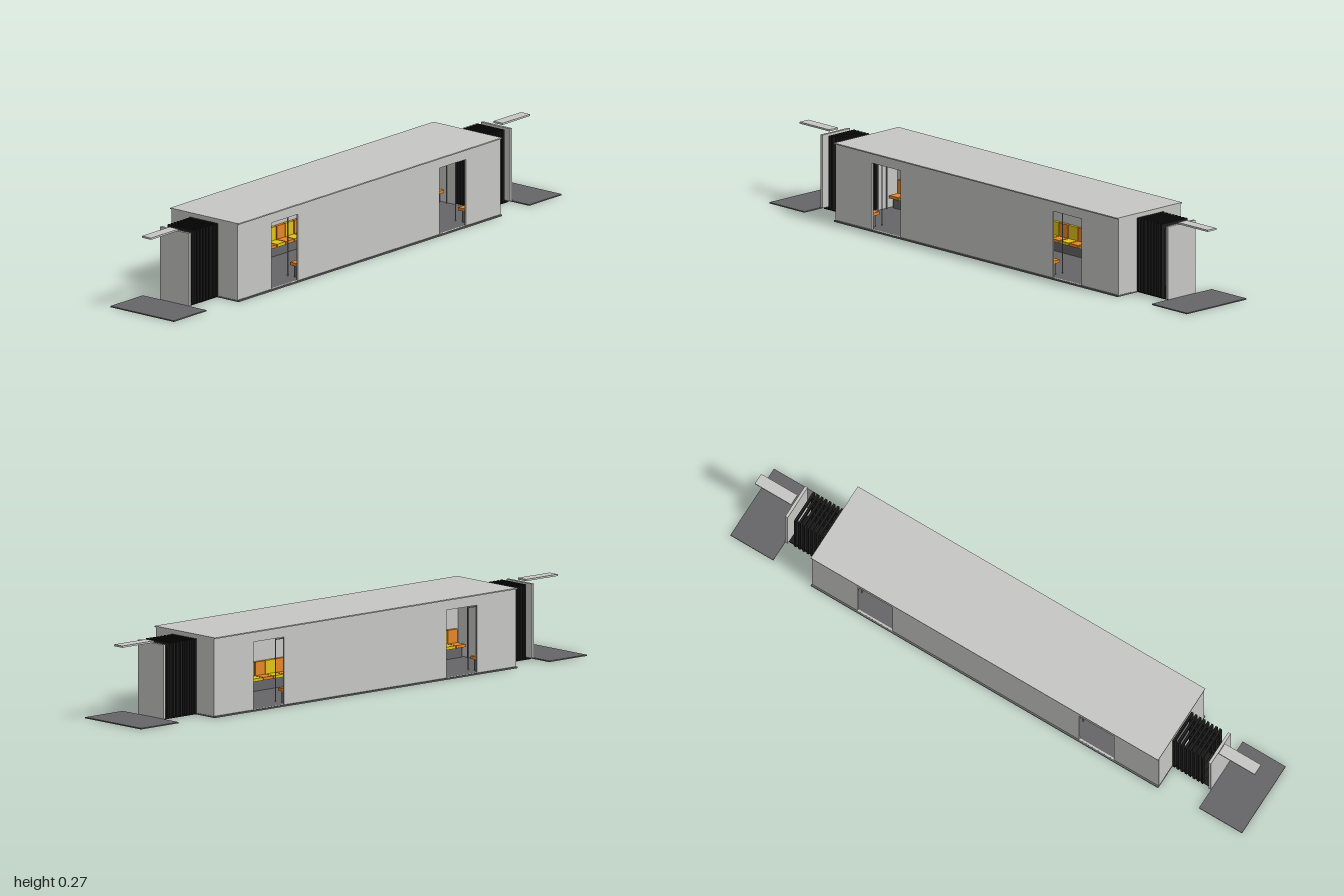
import * as THREE from 'three';

const mat = (name, color) => {
  const m = new THREE.MeshStandardMaterial({ color });
  m.name = name;
  return m;
};

export function createModel() {
  const shell = mat('shell grey', 0xc6c6c4);
  const floorGrey = mat('floor grey', 0x666668);
  const rubber = mat('bellows black', 0x1c1c1c);
  const orange = mat('seat orange', 0xe8862a);
  const yellow = mat('seat yellow', 0xe2c318);
  const metal = mat('rail metal', 0x9a9a9c);

  const car = new THREE.Group();
  car.name = 'railCar';

  const add = (parent, name, geo, m, x = 0, y = 0, z = 0) => {
    const mesh = new THREE.Mesh(geo, m);
    mesh.name = name;
    mesh.position.set(x, y, z);
    parent.add(mesh);
    return mesh;
  };
  // Box given by its limits on each axis
  const box = (parent, name, m, x0, x1, y0, y1, z0, z1) =>
    add(parent, name, new THREE.BoxGeometry(x1 - x0, y1 - y0, z1 - z0), m,
      (x0 + x1) / 2, (y0 + y1) / 2, (z0 + z1) / 2);
  // Upright wall with rectangular openings, centred on its thickness
  const rect = (Type, x0, x1, y0, y1) => new Type([[x0, y0], [x1, y0], [x1, y1], [x0, y1]]
    .map(([x, y]) => new THREE.Vector2(x, y)));
  const wallGeo = (halfWidth, y0, y1, openings, t) => {
    const s = rect(THREE.Shape, -halfWidth, halfWidth, y0, y1);
    for (const o of openings) s.holes.push(rect(THREE.Path, ...o));
    return new THREE.ExtrudeGeometry(s, { depth: t, bevelEnabled: false }).translate(0, 0, -t / 2);
  };

  // Floor and roof slabs overhang the walls slightly
  box(car, 'floor', floorGrey, -0.679, 0.679, 0, 0.005, -0.149, 0.149);
  box(car, 'roof', shell, -0.679, 0.679, 0.267, 0.271, -0.149, 0.149);

  // Side walls with two doorways each
  const side = wallGeo(0.678, 0.005, 0.267,
    [[-0.503, -0.366, 0.0055, 0.234], [0.363, 0.5, 0.0055, 0.234]], 0.006);
  for (const s of [-1, 1]) add(car, 'sideWall', side, shell, 0, 0, s * 0.14);

  // End walls with the gangway opening
  const end = wallGeo(0.137, 0.005, 0.267, [[-0.05, 0.05, 0.0055, 0.24]], 0.006);
  for (const s of [-1, 1]) add(car, 'endWall', end, shell, s * 0.675).rotation.y = Math.PI / 2;

  // Seats: cushion and backrest on a low plinth, along both walls
  const bench = (x0, x1, count, s) => {
    const g = new THREE.Group();
    g.name = 'bench';
    car.add(g);
    const w = (x1 - x0) / count;
    const zs = (a, b) => (s > 0 ? [a, b] : [-b, -a]);
    box(g, 'seatPlinth', floorGrey, x0, x1, 0.005, 0.042, ...zs(0.105, 0.136));
    for (let i = 0; i < count; i++) {
      const a = x0 + i * w + 0.002, b = x0 + (i + 1) * w - 0.002;
      const m = i % 2 ? yellow : orange;
      box(g, 'seatCushion', m, a, b, 0.042, 0.052, ...zs(0.085, 0.136));
      box(g, 'seatBack', m, a, b, 0.052, 0.098, ...zs(0.125, 0.136));
    }
    // Grab poles at the bench ends joined by an overhead rail
    const z = s * 0.08;
    for (const x of [x0 - 0.004, x1 + 0.004]) {
      add(g, 'grabPole', new THREE.CylinderGeometry(0.002, 0.002, 0.262, 8), metal, x, 0.136, z);
    }
    const rail = new THREE.CylinderGeometry(0.002, 0.002, x1 - x0 + 0.008, 8).rotateZ(Math.PI / 2);
    add(g, 'overheadRail', rail, metal, (x0 + x1) / 2, 0.215, z);
  };
  for (const s of [-1, 1]) {
    bench(-0.66, -0.525, 3, s);
    bench(-0.34, 0.34, 15, s);
    bench(0.525, 0.66, 3, s);
  }

  // Gangway at each end; the second is the first turned half round
  const rib = wallGeo(0.06, 0.004, 0.256, [[-0.045, 0.045, 0.006, 0.238]], 0.008);
  for (const turn of [0, Math.PI]) {
    const g = new THREE.Group();
    g.name = 'gangway';
    g.rotation.y = turn;
    car.add(g);
    box(g, 'gangwayFloor', rubber, 0.679, 0.825, 0, 0.004, -0.055, 0.055);
    for (let i = 0; i < 8; i++) {
      add(g, 'bellowsRib', rib, rubber, 0.684 + i * 0.0158, 0, 0).rotation.y = Math.PI / 2;
    }
    box(g, 'endPanel', shell, 0.822, 0.832, 0.004, 0.255, -0.063, 0.063);
    box(g, 'endFloorPlate', floorGrey, 0.832, 1, 0, 0.004, -0.138, 0.138);
    box(g, 'endCeilingPlate', shell, 0.835, 0.977, 0.257, 0.263, -0.02, 0.02);
  }

  return car;
}
